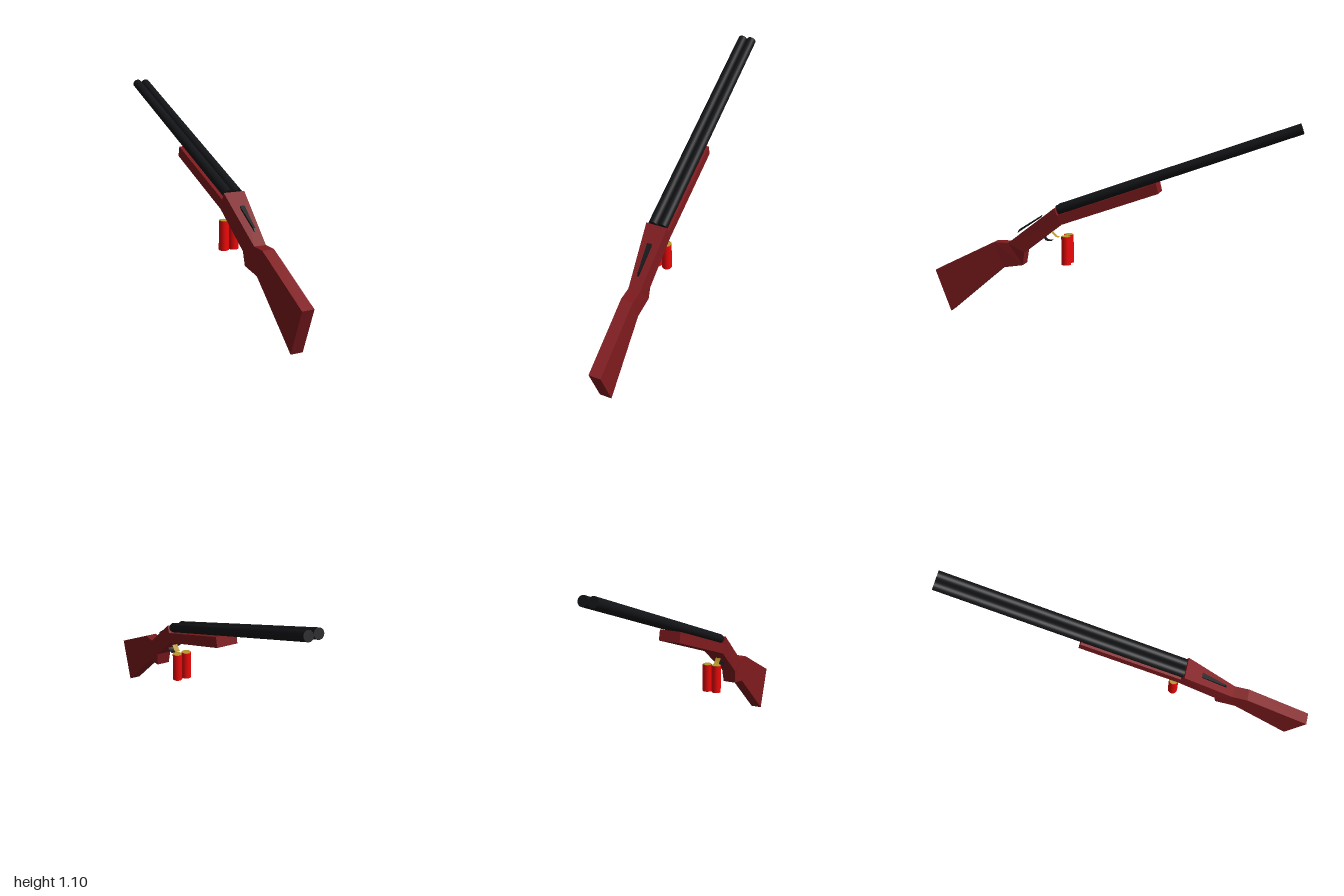
import * as THREE from 'three';

const mat = (color, extra = {}) =>
  Object.assign(new THREE.MeshStandardMaterial({ color }), extra);

// Four-cornered loft along z; each ring is [zTop, yTop, halfWidthTop, zBottom, yBottom, halfWidthBottom]
function loft(rings) {
  const corners = rings.map(([zt, yt, wt, zb, yb, wb]) => [
    [wt, yt, zt], [-wt, yt, zt], [-wb, yb, zb], [wb, yb, zb],
  ]);
  const pos = [];
  const quad = (a, b, c, d) => pos.push(...a, ...b, ...c, ...a, ...c, ...d);
  for (let i = 0; i < corners.length - 1; i++) {
    const p = corners[i], q = corners[i + 1];
    for (let k = 0; k < 4; k++) {
      const n = (k + 1) % 4;
      quad(p[k], p[n], q[n], q[k]);
    }
  }
  const [a, b, c, d] = corners[0];
  quad(a, d, c, b);
  quad(...corners[corners.length - 1]);
  const geo = new THREE.BufferGeometry();
  geo.setAttribute('position', new THREE.Float32BufferAttribute(pos, 3));
  geo.computeVertexNormals();
  return geo;
}

// Thin strip of the given width following [z, y] points
function ribbon(points, width) {
  const geo = new THREE.PlaneGeometry(width, 1, 1, points.length - 1);
  const p = geo.attributes.position;
  for (let i = 0; i < p.count; i++) {
    const [z, y] = points[Math.floor(i / 2)];
    p.setXYZ(i, p.getX(i), y, z);
  }
  geo.computeVertexNormals();
  return geo;
}

export function createModel() {
  const model = new THREE.Group();
  const wood = mat(0x7f1a1e, { flatShading: true });
  const black = mat(0x131417);
  const red = mat(0xee0808);
  const brass = mat(0xb8972a);
  const add = (name, geo, material, parent = model) => {
    const mesh = new THREE.Mesh(geo, material);
    mesh.name = name;
    parent.add(mesh);
    return mesh;
  };

  // Wooden stock: fore-end, receiver, wrist and butt in one loft
  add('stock', loft([
    [-0.267, 0.785, 0.058, -0.28, 0.73, 0.058],
    [0.268, 0.592, 0.058, 0.25, 0.54, 0.058],
    [0.285, 0.63, 0.058, 0.25, 0.54, 0.058],
    [0.56, 0.42, 0.032, 0.464, 0.373, 0.042],
    [0.56, 0.42, 0.032, 0.475, 0.30, 0.036],
    [0.64, 0.42, 0.032, 0.59, 0.28, 0.032],
    [1.0, 0.24, 0.032, 0.913, 0.005, 0.032],
  ]), wood);

  // Tapered lever on top of the wrist
  add('topLever', loft([
    [0.373, 0.578, 0.013, 0.38, 0.564, 0.013],
    [0.503, 0.494, 0.005, 0.514, 0.474, 0.005],
  ]), black);

  // Trigger guard and trigger, both thin curled strips
  const thin = { side: THREE.DoubleSide };
  add('triggerGuard', ribbon([[0.375, 0.495], [0.36, 0.46], [0.345, 0.442], [0.315, 0.44]], 0.04),
    mat(0x131417, thin));
  add('trigger', ribbon([[0.32, 0.52], [0.312, 0.485], [0.29, 0.464], [0.275, 0.462]], 0.03),
    mat(0xb8972a, thin));

  // Side-by-side barrels and the pair of spare shells below
  const rear = new THREE.Vector3(0, 0.617, 0.273);
  const muzzle = new THREE.Vector3(0, 1.076, -0.991);
  const along = muzzle.clone().sub(rear);
  const up = new THREE.Vector3(0, 1, 0);
  for (const side of [-1, 1]) {
    const label = side > 0 ? 'left' : 'right';
    const barrel = add(label + 'Barrel',
      new THREE.CylinderGeometry(0.026, 0.026, along.length(), 32), black);
    barrel.position.copy(rear).add(muzzle).multiplyScalar(0.5);
    barrel.position.x = side * 0.026;
    barrel.quaternion.setFromUnitVectors(up, along.clone().normalize());

    const shell = new THREE.Group();
    shell.name = label + 'Shell';
    shell.position.set(side * 0.028, 0.395, 0.228);
    add('shellBody', new THREE.CylinderGeometry(0.026, 0.026, 0.156, 32), red, shell);
    add('shellCap', new THREE.CylinderGeometry(0.024, 0.024, 0.004, 32), brass, shell)
      .position.y = 0.078;
    model.add(shell);
  }
  return model;
}
